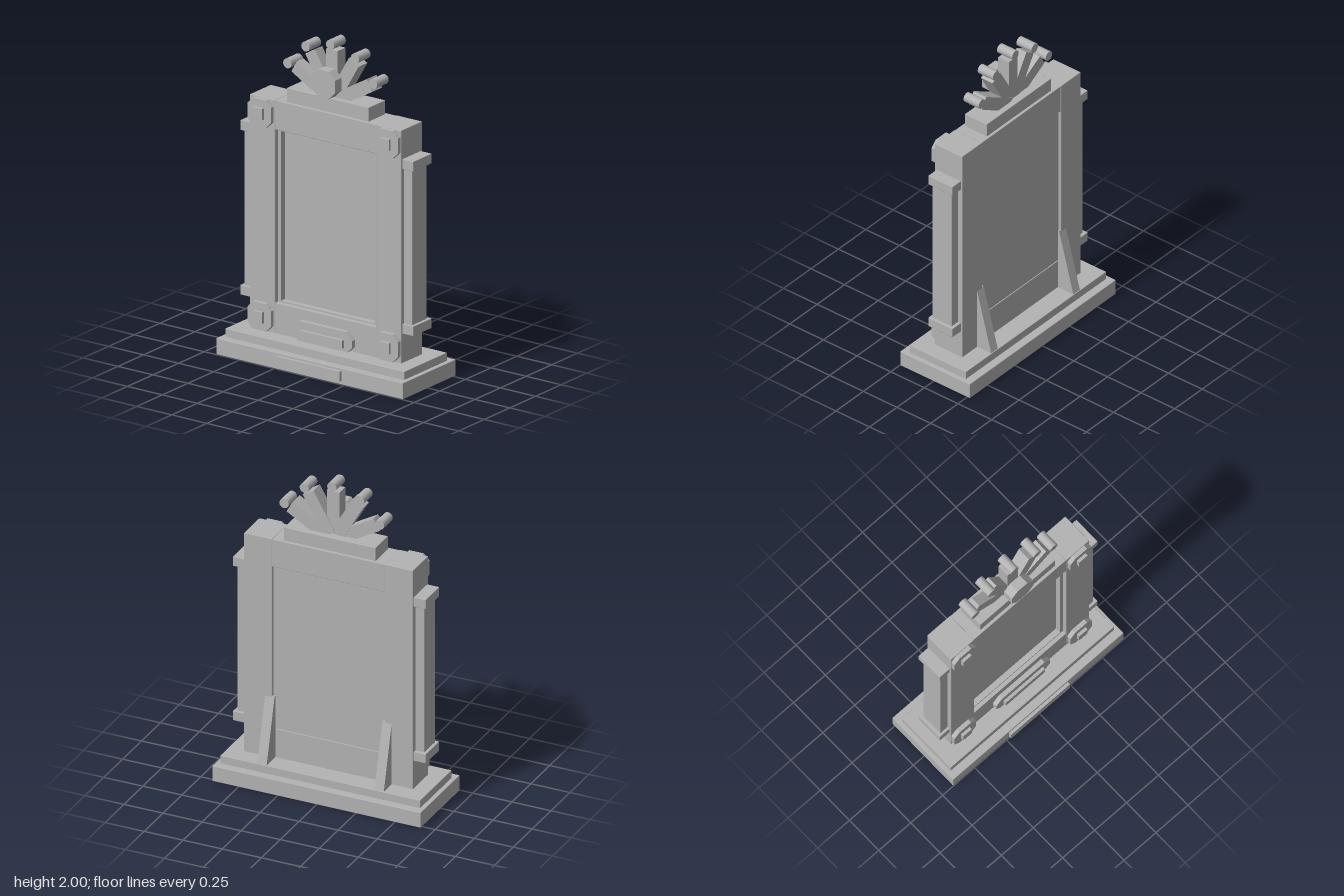
import * as THREE from 'three';
import { RoundedBoxGeometry } from 'three/addons/geometries/RoundedBoxGeometry.js';

export function createModel() {
  const model = new THREE.Group();
  model.name = 'ornateFrame';
  const stone = new THREE.MeshStandardMaterial({ color: 0xb3b3b3 });
  stone.name = 'stoneGrey';

  function add(name, geometry) {
    const mesh = new THREE.Mesh(geometry, stone);
    mesh.name = name;
    model.add(mesh);
    return mesh;
  }

  // Box from its limits, with an optional softened edge
  function block(name, x0, x1, y0, y1, z0, z1, soft = 0) {
    const [w, h, d] = [x1 - x0, y1 - y0, z1 - z0];
    const geometry = soft ? new RoundedBoxGeometry(w, h, d, 1, soft) : new THREE.BoxGeometry(w, h, d);
    const mesh = add(name, geometry);
    mesh.position.set((x0 + x1) / 2, (y0 + y1) / 2, (z0 + z1) / 2);
    return mesh;
  }

  // Plate with its four corners cut off, running from z0 to z1
  function cutPlate(name, cx, cy, w, h, cut, z0, z1) {
    const [a, b] = [w / 2, h / 2];
    const shape = new THREE.Shape([
      [a, cut - b], [a, b - cut], [a - cut, b], [cut - a, b],
      [-a, b - cut], [-a, cut - b], [cut - a, -b], [a - cut, -b],
    ].map(([x, y]) => new THREE.Vector2(x, y)));
    const mesh = add(name, new THREE.ExtrudeGeometry(shape, { depth: z1 - z0, bevelEnabled: false }));
    mesh.position.set(cx, cy, z0);
  }

  // Stepped plinth with its front plaque
  block('plinthLower', -0.667, 0.667, 0, 0.1, -0.27, 0.248, 0.004);
  block('plinthUpper', -0.64, 0.64, 0.098, 0.15, -0.22, 0.197, 0.003);
  block('plinthPlaque', -0.23, 0.23, 0.025, 0.085, 0.24, 0.267);

  // Rails and recessed panel
  block('topRail', -0.362, 0.362, 1.392, 1.57, -0.11, 0.09, 0.003);
  block('bottomRail', -0.362, 0.362, 0.145, 0.335, -0.1, 0.09, 0.003);
  block('panel', -0.362, 0.362, 0.33, 1.395, -0.095, 0.03);

  // Moulding around the panel
  const moulding = new THREE.Shape([
    new THREE.Vector2(-0.361, 0.334), new THREE.Vector2(0.361, 0.334),
    new THREE.Vector2(0.361, 1.393), new THREE.Vector2(-0.361, 1.393),
  ]);
  moulding.holes.push(new THREE.Path([
    new THREE.Vector2(-0.336, 0.345), new THREE.Vector2(-0.336, 1.38),
    new THREE.Vector2(0.336, 1.38), new THREE.Vector2(0.336, 0.345),
  ]));
  add('panelMoulding', new THREE.ExtrudeGeometry(moulding, { depth: 0.04, bevelEnabled: false }))
    .position.z = 0.025;

  // Mirrored posts, side pilasters, corner rosettes and rear braces
  for (const [side, s] of [['left', 1], ['right', -1]]) {
    const pair = (part, x0, x1, ...rest) =>
      block(side + part, Math.min(s * x0, s * x1), Math.max(s * x0, s * x1), ...rest);
    pair('Post', 0.36, 0.541, 0.145, 1.572, -0.112, 0.092, 0.004);
    pair('Pilaster', 0.53, 0.599, 0.34, 1.385, -0.08, 0.064, 0.003);
    pair('PilasterFoot', 0.53, 0.618, 0.328, 0.388, -0.101, 0.08, 0.003);
    pair('PilasterCap', 0.53, 0.618, 1.333, 1.394, -0.101, 0.08, 0.003);

    for (const y of [0.24, 1.483]) {
      cutPlate(side + 'Rosette', s * 0.453, y, 0.167, 0.167, 0.037, 0.088, 0.119);
      pair('RosetteBoss', 0.42, 0.486, y - 0.034, y + 0.034, 0.11, 0.138);
    }

    const brace = new THREE.Shape([
      new THREE.Vector2(0.1, 0.145), new THREE.Vector2(0.217, 0.145),
      new THREE.Vector2(0.11, 0.55), new THREE.Vector2(0.1, 0.55),
    ]);
    const mesh = add(side + 'Brace', new THREE.ExtrudeGeometry(brace, { depth: 0.06, bevelEnabled: false }));
    mesh.rotation.y = Math.PI / 2;
    mesh.position.x = s * 0.375 - 0.03;
  }

  // Lower ornament
  cutPlate('lowerOrnament', 0, 0.205, 0.422, 0.132, 0.045, 0.085, 0.119);
  block('lowerOrnamentBar', -0.153, 0.153, 0.173, 0.222, 0.11, 0.138);

  // Crest: base, fan of rays with pegs, and hub
  block('crestBase', -0.293, 0.293, 1.565, 1.655, -0.093, 0.071, 0.003);
  const fanY = 1.618;
  for (let i = 0; i < 5; i++) {
    const angle = (i - 2) * Math.PI / 6;
    const [dx, dy] = [Math.sin(angle), Math.cos(angle)];
    const ray = add('crestRay', new THREE.BoxGeometry(0.08, 0.275, 0.064 + 0.0075 * i));
    ray.position.set(dx * 0.18, fanY + dy * 0.18, -0.01);
    ray.rotation.z = -angle;
    const peg = add('crestPeg', new THREE.CylinderGeometry(0.03, 0.03, 0.113, 16));
    peg.rotation.x = Math.PI / 2;
    peg.position.set(dx * 0.353, fanY + dy * 0.353, -0.01);
  }
  cutPlate('crestHub', 0, 1.749, 0.168, 0.168, 0.046, 0.048, 0.113);

  return model;
}
